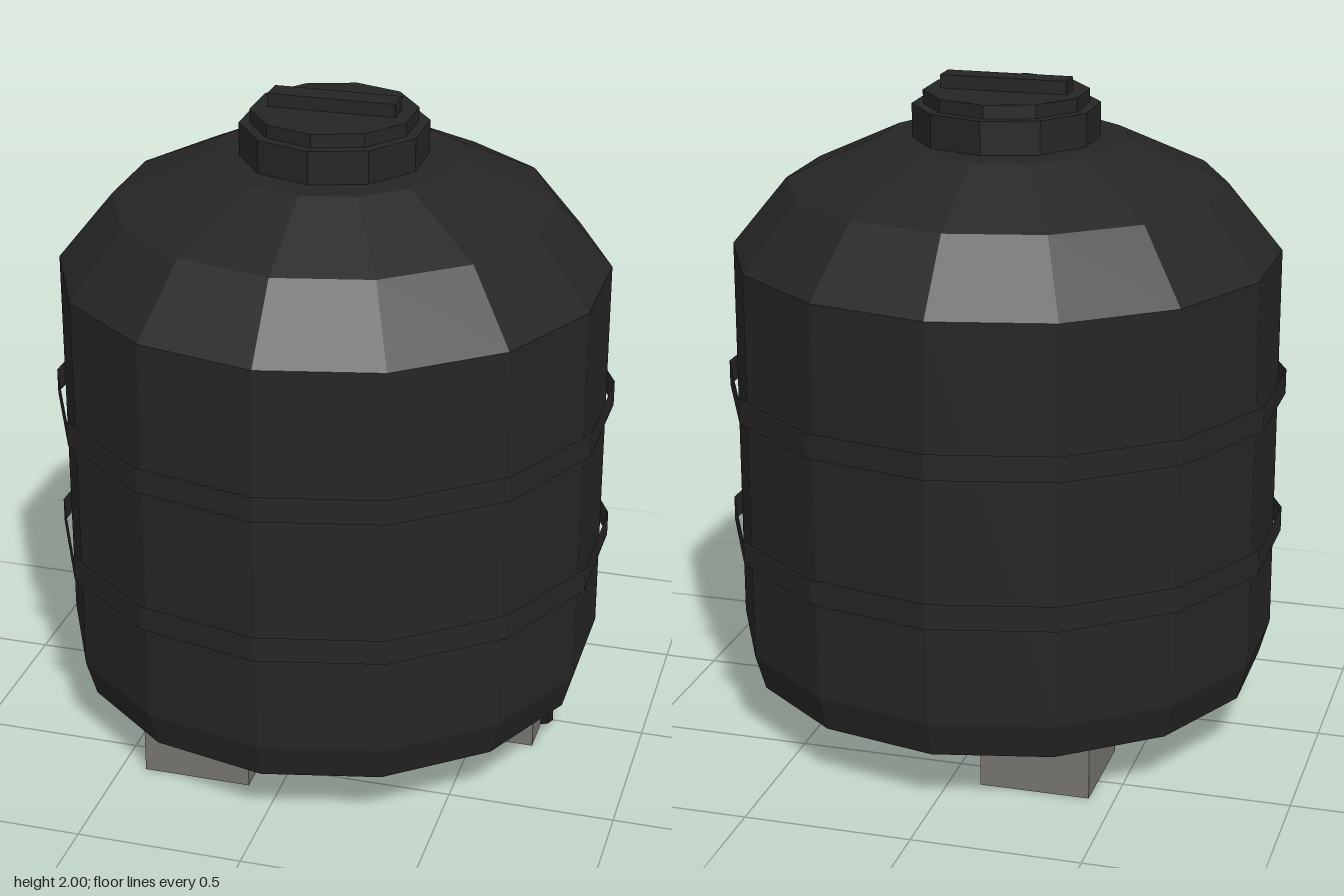
import * as THREE from 'three';

const flat = (name, color, extra = {}) =>
  Object.assign(new THREE.MeshStandardMaterial({ color, flatShading: true, ...extra }), { name });

export function createModel() {
  const tank = new THREE.Group();
  tank.name = 'waterTank';

  const plastic = flat('blackPlastic', 0x252525);
  const strap = flat('blackStrap', 0x252525, { side: THREE.DoubleSide });
  const concrete = flat('greyConcrete', 0x777470);
  const pipeMat = flat('darkPipe', 0x1c1c1c);

  const add = (name, geometry, material, x = 0, y = 0, z = 0) => {
    const mesh = new THREE.Mesh(geometry, material);
    mesh.name = name;
    mesh.position.set(x, y, z);
    tank.add(mesh);
    return mesh;
  };

  // Fourteen-sided body with a stepped dome
  const profile = [[0, 0.17], [0.795, 0.17], [0.827, 0.28], [0.827, 1.48],
    [0.66, 1.685], [0.37, 1.82], [0, 1.82]].map(([r, y]) => new THREE.Vector2(r, y));
  add('body', new THREE.LatheGeometry(profile, 14), plastic);

  // Open straps standing just off the wall
  for (const y of [0.622, 1.068]) {
    add('strap', new THREE.CylinderGeometry(0.851, 0.851, 0.077, 14, 1, true), strap, 0, y, 0);
  }

  // Filler neck, lid and grip
  add('neck', new THREE.CylinderGeometry(0.28, 0.28, 0.1, 10), plastic, 0, 1.87, 0);
  add('lid', new THREE.CylinderGeometry(0.247, 0.247, 0.04, 10), plastic, 0, 1.94, 0);
  add('lidGrip', new THREE.BoxGeometry(0.385, 0.04, 0.08), plastic, 0, 1.98, 0);

  // Three square blocks spaced evenly under the tank
  for (let i = 0; i < 3; i++) {
    const a = (i * Math.PI * 2) / 3;
    add('footBlock', new THREE.BoxGeometry(0.33, 0.17, 0.33), concrete,
      0.52 * Math.cos(a), 0.085, 0.452 / 0.866 * Math.sin(a));
  }

  // Outlet pipe running down beside one block
  add('outletPipe', new THREE.CylinderGeometry(0.037, 0.037, 0.17, 8), pipeMat, 0.68, 0.085, 0);

  return tank;
}
